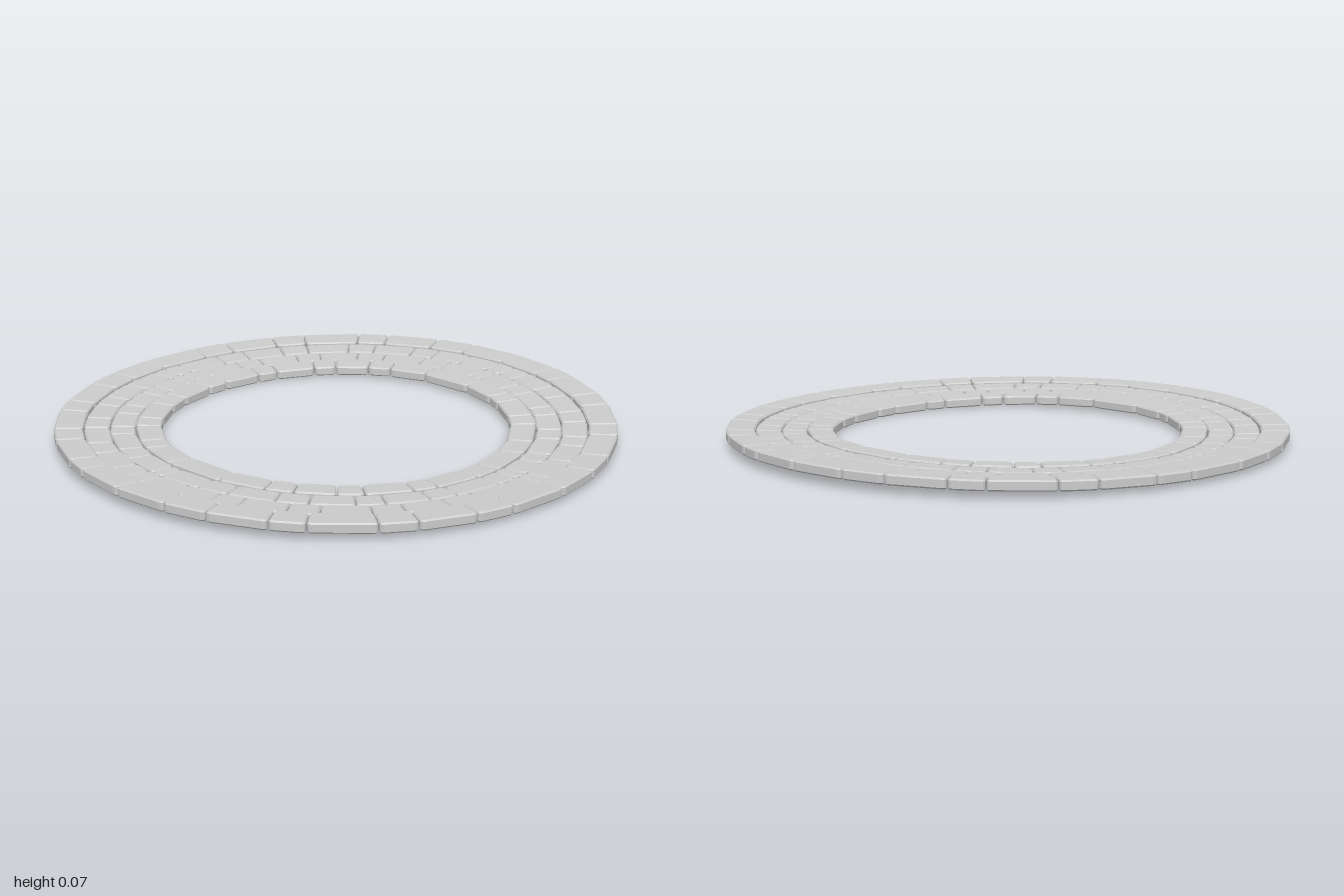
import * as THREE from 'three';

// Each course: inner and outer radius, stone thickness, and joint angles
// (degrees, clockwise from the back) for half a turn; the other half repeats.
const COURSES = [
  { name: 'outerKerb', inner: 0.898, outer: 1.0, thick: 0.036,
    joints: [2, 14, 20, 32, 39, 51, 57.5, 69.5, 78, 89, 102, 110, 121.5, 129, 142, 149, 161, 170] },
  { name: 'outerPaving', inner: 0.805, outer: 0.895, thick: 0.029,
    joints: [2, 7, 12.5, 23, 30, 41, 48, 58, 64, 74, 85, 88.5, 93, 104.5, 112, 122, 129, 140, 147, 157.5, 164, 173] },
  { name: 'innerPaving', inner: 0.715, outer: 0.803, thick: 0.029,
    joints: [2.5, 6, 17, 24, 36, 42, 53, 60, 71, 77, 85, 89, 94.5, 107, 114, 125, 132, 143, 151, 163, 171] },
  { name: 'innerKerb', inner: 0.622, outer: 0.713, thick: 0.034,
    joints: [8.5, 22, 28.5, 42, 49.5, 63.5, 73, 87, 95, 108.5, 115.5, 129, 136.5, 148, 156, 169.5] },
];
const BEVEL = 0.005;
const GAP = 0.0015;
const CORNER = 0.016;

// Ground height: a shallow dish with a slight saddle
function groundHeight(x, z) {
  const r2 = x * x + z * z;
  const saddle = (z * z - x * x) / r2;
  return 0.007 + ((Math.sqrt(r2) - 0.62) / 0.38) * 0.017 + 0.007 * saddle;
}

// Straight-sided outline with rounded corners
function roundedOutline(points, radius) {
  const shape = new THREE.Shape();
  points.forEach((p, i) => {
    const prev = points[(i + points.length - 1) % points.length];
    const next = points[(i + 1) % points.length];
    const toward = (q) => p.clone().lerp(q, Math.min(0.3, radius / p.distanceTo(q)));
    const a = toward(prev);
    const b = toward(next);
    if (i === 0) shape.moveTo(a.x, a.y);
    else shape.lineTo(a.x, a.y);
    shape.quadraticCurveTo(p.x, p.y, b.x, b.y);
  });
  shape.closePath();
  return shape;
}

// One bevelled wedge stone laid on the ground surface
function stoneGeometry(inner, outer, start, end, thick) {
  const corner = (r, angle, shift) => {
    const a = THREE.MathUtils.degToRad(angle) + shift / r;
    return new THREE.Vector2(r * Math.sin(a), r * Math.cos(a));
  };
  const outline = roundedOutline([
    corner(inner, start, GAP), corner(inner, end, -GAP),
    corner(outer, end, -GAP), corner(outer, start, GAP),
  ], CORNER);
  const geometry = new THREE.ExtrudeGeometry(outline, {
    depth: thick - 2 * BEVEL, curveSegments: 3,
    bevelEnabled: true, bevelThickness: BEVEL, bevelSize: BEVEL,
    bevelOffset: -BEVEL, bevelSegments: 1,
  });
  geometry.translate(0, 0, BEVEL);
  geometry.rotateX(-Math.PI / 2);
  const pos = geometry.attributes.position;
  for (let i = 0; i < pos.count; i++) {
    pos.setY(i, pos.getY(i) + groundHeight(pos.getX(i), pos.getZ(i)));
  }
  geometry.computeVertexNormals();
  return geometry;
}

export function createModel() {
  const model = new THREE.Group();
  model.name = 'stoneRing';
  const stone = new THREE.MeshStandardMaterial({ color: 0xcccccc, flatShading: true });

  for (const { name, inner, outer, thick, joints } of COURSES) {
    const course = new THREE.Group();
    course.name = name;
    const all = [...joints, ...joints.map((a) => a + 180), joints[0] + 360];
    for (let i = 0; i < all.length - 1; i++) {
      const mesh = new THREE.Mesh(stoneGeometry(inner, outer, all[i], all[i + 1], thick), stone);
      mesh.name = `${name}Stone${i + 1}`;
      course.add(mesh);
    }
    model.add(course);
  }
  return model;
}
